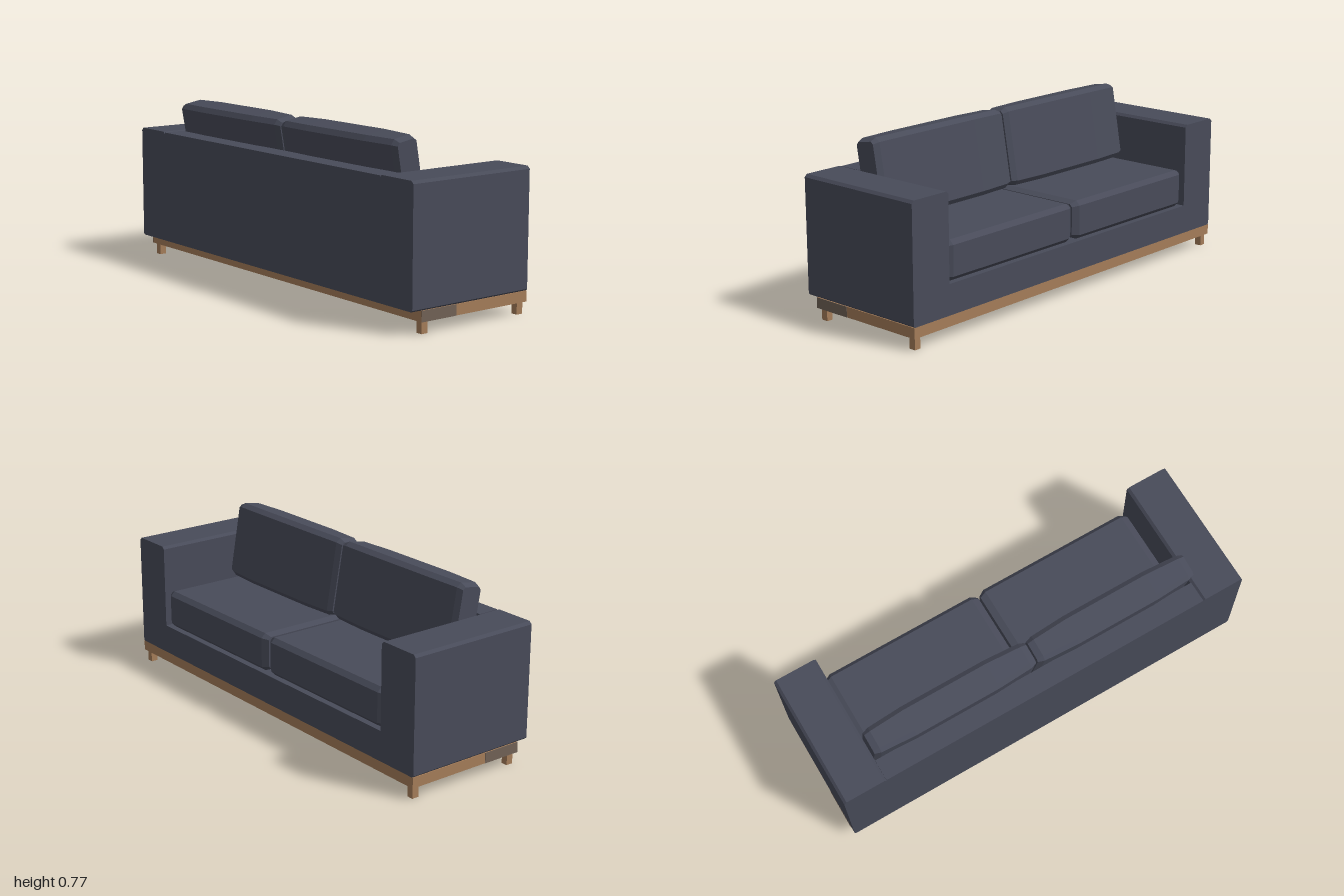
import * as THREE from 'three';
import { ConvexGeometry } from 'three/addons/geometries/ConvexGeometry.js';

const fabric = new THREE.MeshStandardMaterial({ color: 0x484b59 });
fabric.name = 'navy fabric';
const wood = new THREE.MeshStandardMaterial({ color: 0xa57d59 });
wood.name = 'oak wood';
const darkWood = new THREE.MeshStandardMaterial({ color: 0x716256 });
darkWood.name = 'dark wood';

// Faceted cushion lofted along z; each slice is [z, half thickness, half height, chamfer]
function cushionGeometry(slices) {
  const points = [];
  for (const [z, a, b, c] of slices)
    for (const sz of [-1, 1])
      for (const sx of [-1, 1])
        for (const sy of [-1, 1])
          points.push(
            new THREE.Vector3(sx * a, sy * (b - c), sz * z),
            new THREE.Vector3(sx * (a - c), sy * b, sz * z));
  return new ConvexGeometry(points);
}

export function createModel() {
  const model = new THREE.Group();
  model.name = 'sofa';

  const add = (name, geometry, material, x, y, z) => {
    const mesh = new THREE.Mesh(geometry, material);
    mesh.name = name;
    mesh.position.set(x, y, z);
    model.add(mesh);
    return mesh;
  };
  const box = (name, material, x0, x1, y0, y1, z0, z1) =>
    add(name, new THREE.BoxGeometry(x1 - x0, y1 - y0, z1 - z0), material,
      (x0 + x1) / 2, (y0 + y1) / 2, (z0 + z1) / 2);

  // Arms and seat base: one U-shaped profile with chamfered edges
  const half = [[0.993, 0.1], [1, 0.107], [1, 0.613], [0.988, 0.625],
    [0.807, 0.625], [0.795, 0.613], [0.795, 0.235]];
  const mirrored = half.map(([z, y]) => [-z, y]).reverse();
  const profile = new THREE.Shape([...half, ...mirrored].map(([z, y]) => new THREE.Vector2(z, y)));
  const frame = new THREE.ExtrudeGeometry(profile, { depth: 0.63, bevelEnabled: false });
  frame.rotateY(Math.PI / 2);
  add('armsAndBase', frame, fabric, -0.315, 0, 0);

  // Backrest panel between the arms
  box('backrest', fabric, -0.315, -0.215, 0.235, 0.622, -0.796, 0.796);

  // Wooden plinth with a darker section at the rear of each end
  box('plinth', wood, -0.265, 0.315, 0.053, 0.1, -0.998, 0.998);

  const seat = cushionGeometry([[0.393, 0.237, 0.075, 0.012], [0.362, 0.255, 0.0875, 0.02]]);
  const back = cushionGeometry([
    [0.394, 0.05, 0.165, 0.012], [0.365, 0.06, 0.178, 0.02], [0.2, 0.069, 0.18, 0.02]]);

  for (const s of [-1, 1]) {
    const side = s > 0 ? 'left' : 'right';
    add(side + 'SeatCushion', seat, fabric, 0.05, 0.3225, s * 0.398);
    const cushion = add(side + 'BackCushion', back, fabric, -0.144, 0.586, s * 0.398);
    cushion.rotation.z = THREE.MathUtils.degToRad(10);

    box(side + 'PlinthDarkSection', darkWood, -0.265, -0.08, 0.053, 0.1,
      s * 0.999 - 0.001, s * 0.999 + 0.001);

    // Square feet
    for (const [end, x] of [['rear', -0.236], ['front', 0.288]])
      box(end + side + 'Foot', wood, x - 0.016, x + 0.016, 0, 0.053, s * 0.97 - 0.015, s * 0.97 + 0.015);
  }
  return model;
}
